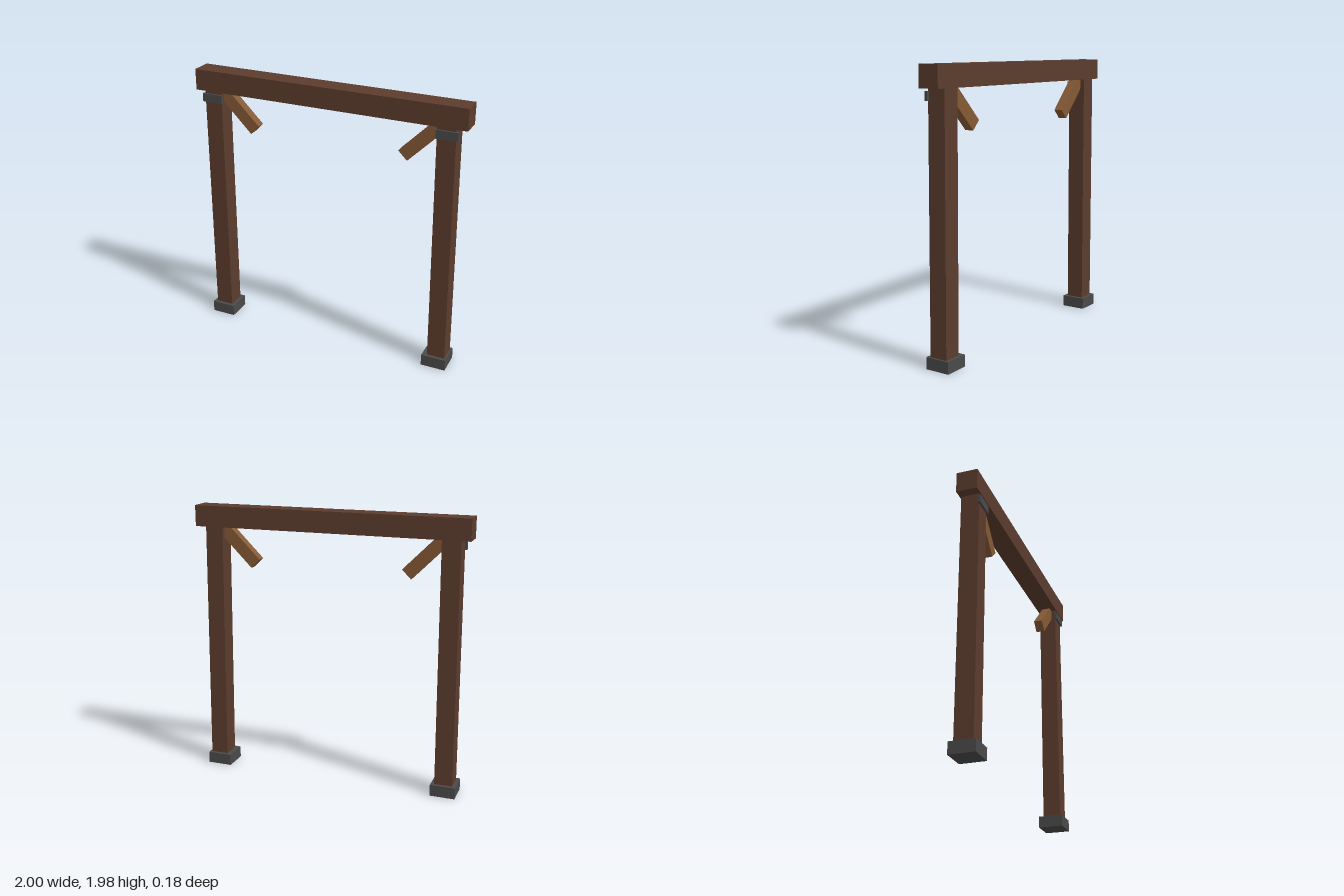
import * as THREE from 'three';

export function createModel() {
  const group = new THREE.Group();
  const darkWood = new THREE.MeshStandardMaterial({ name: 'darkWood', color: 0x5c3d2e });
  const lightWood = new THREE.MeshStandardMaterial({ name: 'lightWood', color: 0x855a36 });
  const metal = new THREE.MeshStandardMaterial({ name: 'darkMetal', color: 0x4a4a4a });

  function box(name, material, size, position, tilt = 0) {
    const mesh = new THREE.Mesh(new THREE.BoxGeometry(...size), material);
    mesh.name = name;
    mesh.position.set(...position);
    mesh.rotation.z = tilt;
    group.add(mesh);
  }

  // Lintel across the top
  box('beam', darkWood, [2, 0.15, 0.15], [0, 1.901, 0]);

  // Each side leans slightly differently
  const sides = [
    { name: 'right', s: -1, foot: -0.874, bottom: -0.875, top: -0.868, plate: -0.872, brace: -0.561 },
    { name: 'left', s: 1, foot: 0.869, bottom: 0.88, top: 0.858, plate: 0.865, brace: 0.556 },
  ];
  const postBase = 0.04, postTop = 1.84, braceLength = 0.38;
  for (const { name, s, foot, bottom, top, plate, brace } of sides) {
    // Post and its footing
    box(name + 'Foot', metal, [0.18, 0.083, 0.18], [foot, 0.0415, 0]);
    box(name + 'Post', darkWood, [0.13, postTop - postBase, 0.13],
      [(bottom + top) / 2, (postBase + postTop) / 2, 0],
      Math.atan2(bottom - top, postTop - postBase));
    // Strap on the front of the post
    box(name + 'Bracket', metal, [0.152, 0.06, 0.02], [plate, 1.777, 0.069]);
    // Diagonal brace, running from its free end up into the joint
    const half = braceLength / 2 * Math.SQRT1_2;
    box(name + 'Brace', lightWood, [braceLength, 0.091, 0.065],
      [brace + s * half, 1.572 + half, 0], s * Math.PI / 4);
  }
  return group;
}
